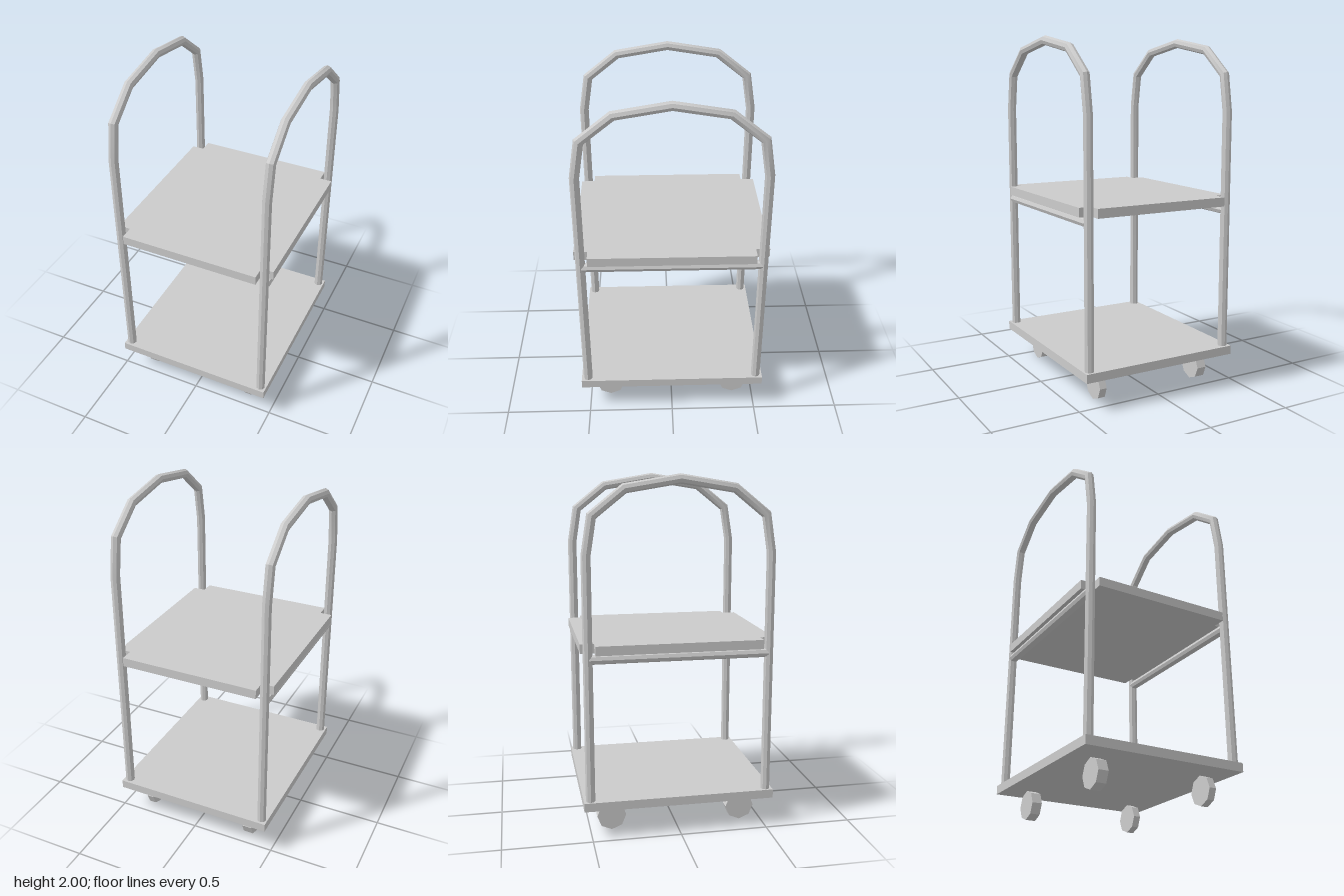
import * as THREE from 'three';
import { toCreasedNormals } from 'three/addons/utils/BufferGeometryUtils.js';

const material = new THREE.MeshStandardMaterial({ color: 0xcccccc });

function addMesh(parent, name, geometry, x = 0, y = 0, z = 0) {
  const mesh = new THREE.Mesh(geometry, material);
  mesh.name = name;
  mesh.position.set(x, y, z);
  parent.add(mesh);
  return mesh;
}

// Eight-sided tube along [z, y] points in the plane x = 0, mitred at each bend.
function mitredTube(points, radius, sides = 8) {
  const path = points.map(([z, y]) => new THREE.Vector3(0, y, z));
  const last = path.length - 1;
  const positions = [], index = [];
  path.forEach((p, i) => {
    const before = p.clone().sub(path[Math.max(i - 1, 0)]).normalize();
    const after = path[Math.min(i + 1, last)].clone().sub(p).normalize();
    const tangent = before.clone().add(after).normalize();
    const cosHalf = tangent.dot(i < last ? after : before);
    const across = new THREE.Vector3(0, -tangent.z, tangent.y).multiplyScalar(1 / cosHalf);
    for (let j = 0; j < sides; j++) {
      const a = (j / sides) * Math.PI * 2;
      const c = radius * Math.cos(a), s = radius * Math.sin(a);
      positions.push(c, p.y + across.y * s, p.z + across.z * s);
      if (i < last) {
        const k = (j + 1) % sides;
        const a0 = i * sides + j, b0 = i * sides + k;
        // x cross "across" points against the tangent
        index.push(a0, a0 + sides, b0, b0, a0 + sides, b0 + sides);
      }
    }
  });
  // End caps
  for (let j = 1; j < sides - 1; j++) {
    const e = last * sides;
    index.push(0, j, j + 1, e, e + j + 1, e + j);
  }
  const geometry = new THREE.BufferGeometry();
  geometry.setAttribute('position', new THREE.Float32BufferAttribute(positions, 3));
  geometry.setIndex(index);
  return toCreasedNormals(geometry, 0.6);
}

// Shelf plate with a rectangular notch at each corner, lying flat.
function notchedPlate(w, d, nx, nz, thickness) {
  const shape = new THREE.Shape([
    [nx, d], [nx, nz], [w, nz], [w, -nz], [nx, -nz], [nx, -d],
    [-nx, -d], [-nx, -nz], [-w, -nz], [-w, nz], [-nx, nz], [-nx, d],
  ].map(([x, y]) => new THREE.Vector2(x, y)));
  const geometry = new THREE.ExtrudeGeometry(shape, { depth: thickness, bevelEnabled: false });
  return geometry.rotateX(-Math.PI / 2);
}

export function createModel() {
  const cart = new THREE.Group();
  cart.name = 'serviceCart';

  // Decks
  addMesh(cart, 'lowerDeck', new THREE.BoxGeometry(0.95, 0.05, 1.086), 0, 0.193, 0);
  addMesh(cart, 'upperShelf', notchedPlate(0.475, 0.543, 0.405, 0.465, 0.052), 0, 1.05, 0);

  // Arched side handles and the rails carrying the shelf
  const half = [[0.505, 0.19], [0.505, 1.58], [0.472, 1.785], [0.298, 1.924]];
  const arch = [...half, [0, 1.973], ...half.slice().reverse().map(([z, y]) => [-z, y])];
  const archGeometry = mitredTube(arch, 0.0265);
  const railGeometry = mitredTube([[0.5, 0], [-0.5, 0]], 0.0265);
  for (const side of [1, -1]) {
    const label = side > 0 ? 'left' : 'right';
    addMesh(cart, label + 'Handle', archGeometry, side * 0.44, 0, 0);
    addMesh(cart, label + 'ShelfRail', railGeometry, side * 0.44, 1.023, 0);
  }

  // Wheels
  for (const [x, width, label] of [[0.331, 0.042, 'left'], [-0.328, 0.058, 'right']]) {
    const wheel = new THREE.CylinderGeometry(0.083, 0.083, width, 8).rotateZ(Math.PI / 2);
    const faceted = toCreasedNormals(wheel, 0.5);
    addMesh(cart, label + 'FrontWheel', faceted, x, 0.083, 0.378);
    addMesh(cart, label + 'BackWheel', faceted, x, 0.083, -0.378);
  }
  return cart;
}
